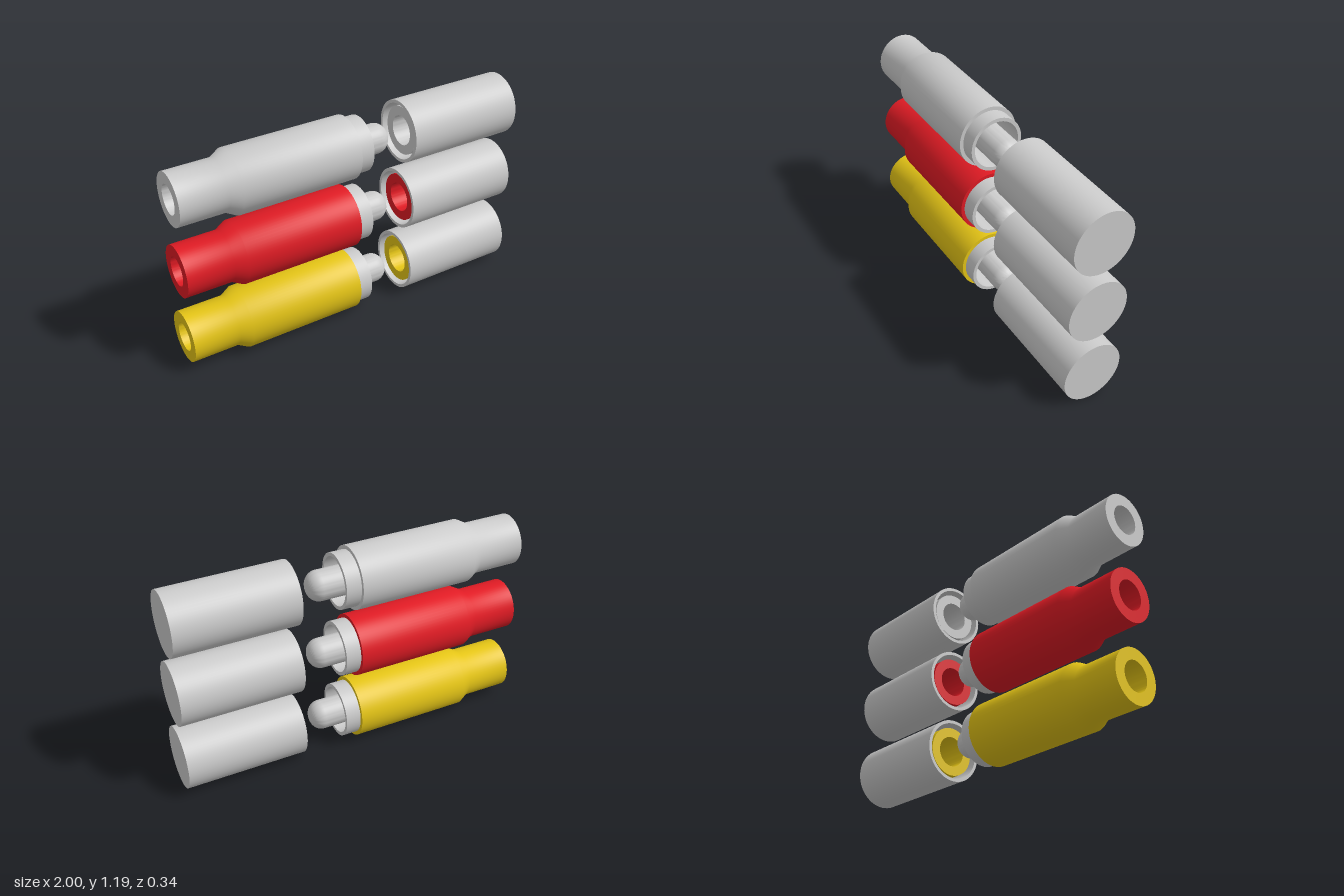
import * as THREE from 'three';
import { toCreasedNormals } from 'three/addons/utils/BufferGeometryUtils.js';

const material = (color) => new THREE.MeshStandardMaterial({ color });

// Turned part along x from [x, radius] pairs, run towards +x on the outside
function turned(name, profile, mat) {
  const points = profile.map(([x, r]) => new THREE.Vector2(r, x));
  const geometry = new THREE.LatheGeometry(points, 64);
  geometry.rotateZ(-Math.PI / 2);
  const mesh = new THREE.Mesh(toCreasedNormals(geometry, 0.6), mat);
  mesh.name = name;
  return mesh;
}

function createConnector(name, color) {
  const connector = new THREE.Group();
  connector.name = name;
  const grey = material(0xcccccc);
  const cover = material(color);

  // Plug cover with a narrower, bored cable end
  connector.add(turned('plugCover', [
    [-0.7, 0], [-0.7, 0.08], [-1, 0.08], [-1, 0.143], [-0.74, 0.143],
    [-0.68, 0.176], [-0.01, 0.176], [-0.01, 0.15], [-0.32, 0.15], [-0.32, 0],
  ], cover));

  // Thin hollow sleeve at the front of the plug
  connector.add(turned('plugSleeve', [
    [-0.31, 0], [-0.31, 0.155], [0.075, 0.155], [0.075, 0.135], [-0.28, 0.135], [-0.28, 0],
  ], grey));

  // Contact pin with a rounded tip
  const pin = [[-0.29, 0], [-0.29, 0.084]];
  for (let i = 0; i <= 10; i++) {
    const a = (i / 10) * Math.PI / 2;
    pin.push([0.167 + 0.07 * Math.sin(a), 0.014 + 0.07 * Math.cos(a)]);
  }
  pin.push([0.237, 0]);
  connector.add(turned('contactPin', pin, grey));

  // Socket shell, closed at the far end
  connector.add(turned('socketShell', [
    [0.75, 0], [0.75, 0.158], [0.325, 0.158], [0.325, 0.176], [1, 0.176], [1, 0],
  ], grey));

  // Bored insert set slightly back inside the shell
  connector.add(turned('socketInsert', [
    [0.7, 0], [0.7, 0.084], [0.345, 0.084], [0.345, 0.137], [0.76, 0.137], [0.76, 0],
  ], cover));

  connector.scale.z = 0.96;
  return connector;
}

export function createModel() {
  const model = new THREE.Group();
  model.name = 'connectorSet';
  const kinds = [
    ['yellowConnector', 0xe5c516],
    ['redConnector', 0xe01b24],
    ['greyConnector', 0xcccccc],
  ];
  kinds.forEach(([name, color], i) => {
    const connector = createConnector(name, color);
    connector.position.y = 0.176 + i * 0.421;
    model.add(connector);
  });
  return model;
}
